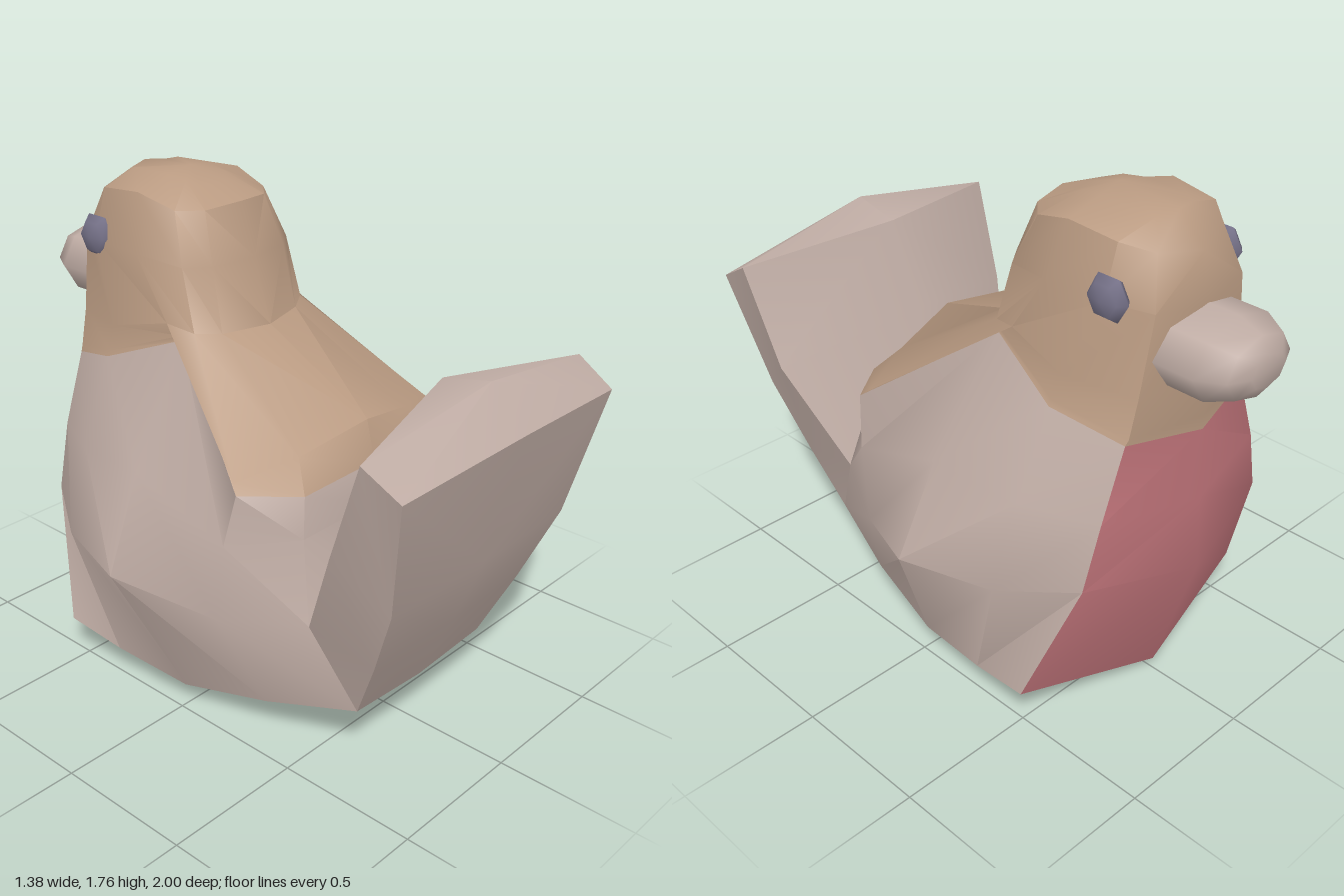
import * as THREE from 'three';
import { toCreasedNormals } from 'three/addons/utils/BufferGeometryUtils.js';

const material = (name, color) => {
  const m = new THREE.MeshStandardMaterial({ color });
  m.name = name;
  return m;
};

// Completes a half section (back centre, round the left side, to front centre).
const mirror = (half) => [
  ...half,
  ...half.slice(1, -1).reverse().map(([x, y, z]) => [-x, y, z]),
];

// Skins symmetric sections from bottom to top; pick(band, column) gives the material index.
function loft(halves, bottom, top, pick) {
  const rings = halves.map(mirror);
  const n = rings[0].length;
  const buckets = [];
  const add = (k, ...points) => (buckets[k] ??= []).push(...points.flat());
  for (let j = 0; j < n; j++) {
    const k = (j + 1) % n;
    const column = j < n / 2 ? j : n - 1 - j;
    if (bottom) add(pick(-1, column), rings[0][k], rings[0][j], bottom);
    for (let r = 0; r < rings.length - 1; r++) {
      const a = rings[r], b = rings[r + 1];
      // the diagonal is mirrored too
      if (j < n / 2) add(pick(r, column), a[j], a[k], b[k], a[j], b[k], b[j]);
      else add(pick(r, column), a[j], a[k], b[j], a[k], b[k], b[j]);
    }
    const last = rings[rings.length - 1];
    add(pick(rings.length - 1, column), last[j], last[k], top);
  }
  const geo = new THREE.BufferGeometry();
  geo.setAttribute('position', new THREE.Float32BufferAttribute(buckets.flat(), 3));
  let start = 0;
  buckets.forEach((b, i) => {
    geo.addGroup(start, b.length / 3, i);
    start += b.length / 3;
  });
  return toCreasedNormals(geo, 0.8);
}

export function createModel() {
  const group = new THREE.Group();
  const plumage = material('pale plumage', 0xbfaca4);
  const breast = material('rose breast', 0xc0747a);
  const hood = material('tan hood', 0xba9b82);
  const eyeGrey = material('eye grey', 0x77738a);

  const add = (name, geo, mat) => {
    const mesh = new THREE.Mesh(geo, mat);
    mesh.name = name;
    group.add(mesh);
    return mesh;
  };

  // Body sections: back centre, back corner, back side, side, front side, front corner, front centre
  const body = [
    [[0, .19, .65], [.33, .21, .65], [.42, .14, .33], [.48, .08, 0], [.52, .115, -.3], [.54, .15, -.53], [0, .04, -.64]],
    [[0, .5, .5], [.4, .5, .5], [.54, .47, .22], [.69, .56, -.12], [.585, .56, -.45], [.43, .6, -.69], [0, .53, -.8]],
    [[0, .77, .43], [.35, .77, .43], [.53, .75, .25], [.54, .88, -.14], [.49, .85, -.46], [.37, .83, -.705], [0, .8, -.79]],
    [[0, .92, .425], [.33, .91, .415], [.5, .93, .28], [.285, 1.265, -.175], [.36, 1.15, -.47], [.28, 1.08, -.71], [0, 1.05, -.78]],
  ];
  // Hood sections continue the same columns
  const head = [
    [[0, 1.06, .39], [.27, 1, .335], [.48, .955, .25], [.285, 1.28, -.18], [.35, 1.17, -.47], [.27, 1.1, -.715], [0, 1.1, -.78]],
    [[0, 1.28, -.04], [.18, 1.28, -.09], [.26, 1.29, -.14], [.29, 1.31, -.24], [.32, 1.25, -.48], [.24, 1.23, -.72], [0, 1.23, -.78]],
    [[0, 1.5, -.11], [.17, 1.5, -.14], [.25, 1.5, -.2], [.29, 1.52, -.38], [.275, 1.52, -.6], [.2, 1.5, -.735], [0, 1.47, -.77]],
    [[0, 1.68, -.17], [.14, 1.67, -.2], [.21, 1.67, -.27], [.235, 1.71, -.42], [.22, 1.69, -.6], [.15, 1.66, -.69], [0, 1.64, -.74]],
    [[0, 1.72, -.28], [.06, 1.72, -.3], [.09, 1.735, -.34], [.1, 1.745, -.42], [.1, 1.74, -.58], [.08, 1.73, -.62], [0, 1.74, -.64]],
  ];
  const pick = (band, column) => {
    if (band < 0) return 1;
    if (band > 2) return 2;
    return column === 5 ? 1 : 0;
  };
  add('bodyAndHead', loft([...body, ...head], [0, 0, -.05], [0, 1.76, -.41], pick), [plumage, breast, hood]);

  // Upturned fan tail: outer centre, outer corner, inner corner, inner centre
  const tail = [
    [[0, .19, .65], [.33, .21, .65], [.33, .21, .65], [0, .19, .65]],
    [[0, .45, .77], [.39, .45, .76], [.4, .5, .5], [0, .77, .43]],
    [[0, .72, .88], [.455, .72, .87], [.53, .88, .69], [0, 1, .52]],
    [[0, 1.2, 1], [.545, 1.16, .96], [.56, 1.24, .82], [0, 1.29, .68]],
  ];
  add('tail', loft(tail, null, [0, 1.33, .86], () => 0), [plumage]);

  // Stubby rounded bill
  const profile = [[.2, 0], [.2, .2], [.15, .285], [.08, .32], [0, .32]].map((p) => new THREE.Vector2(...p));
  const beak = new THREE.LatheGeometry(profile, 8).rotateX(-Math.PI / 2).scale(1, .68, 1);
  add('beak', beak, plumage).position.set(0, 1.345, -.68);

  // Flattened six-sided eyes
  for (const [name, side] of [['leftEye', 1], ['rightEye', -1]]) {
    const eye = new THREE.SphereGeometry(.08, 6, 4).rotateY(Math.PI / 2).rotateZ(Math.PI / 2).scale(.5, 1, 1);
    add(name, eye, eyeGrey).position.set(side * .26, 1.53, -.605);
  }
  return group;
}
